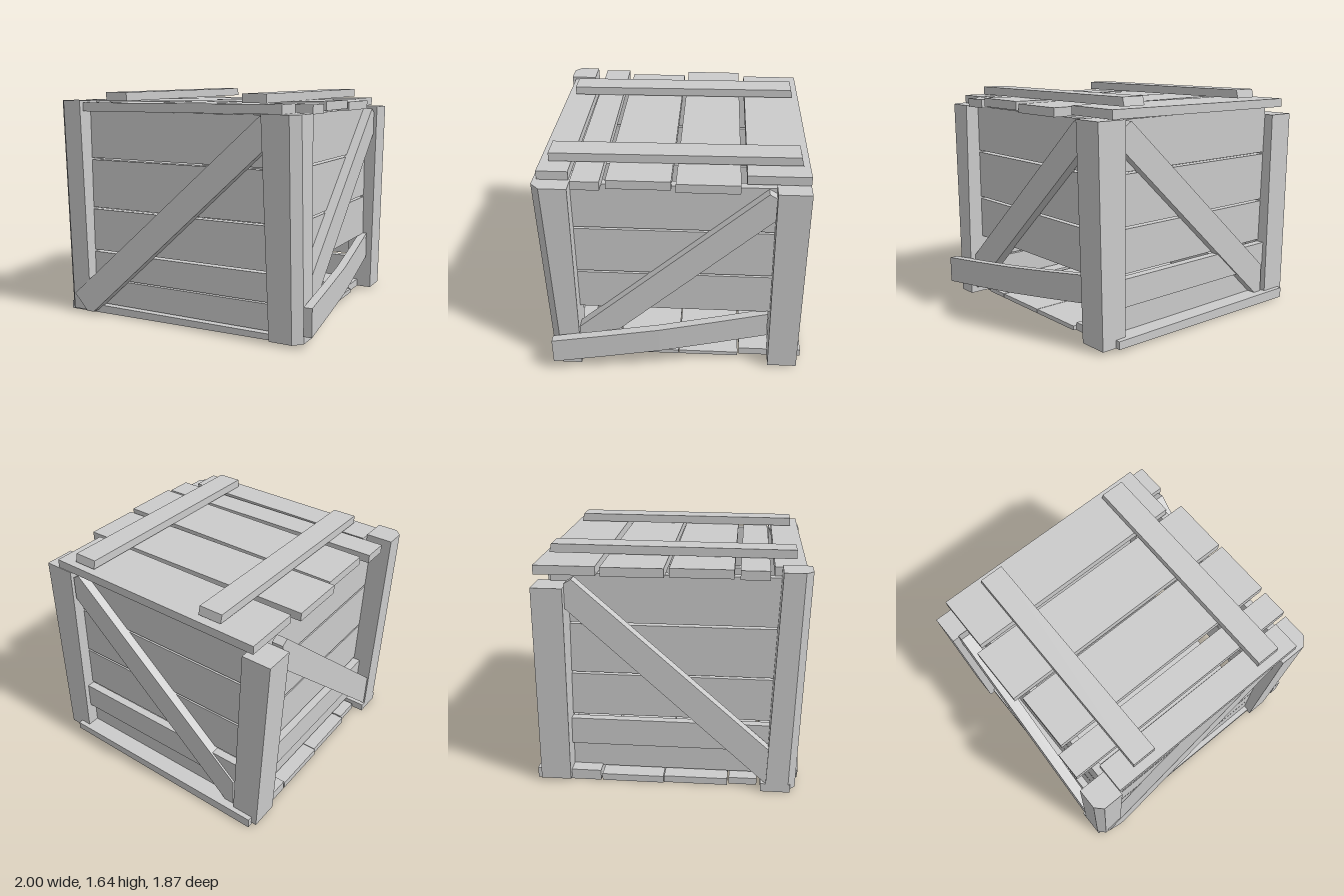
import * as THREE from 'three';
import { ConvexGeometry } from 'three/addons/geometries/ConvexGeometry.js';

const material = new THREE.MeshStandardMaterial({ color: 0xcccccc, flatShading: true });

function addMesh(parent, name, geometry) {
  const mesh = new THREE.Mesh(geometry, material);
  mesh.name = name;
  parent.add(mesh);
}

// Straight board between two corners, with a rule that moves each vertex
function addBoard(parent, name, [x0, x1], [y0, y1], [z0, z1], rule, segments = 1) {
  const g = new THREE.BoxGeometry(x1 - x0, y1 - y0, z1 - z0, 1, 1, segments);
  g.translate((x0 + x1) / 2, (y0 + y1) / 2, (z0 + z1) / 2);
  const p = g.attributes.position;
  const v = new THREE.Vector3();
  for (let i = 0; i < p.count; i++) {
    rule(v.fromBufferAttribute(p, i));
    p.setXYZ(i, v.x, v.y, v.z);
  }
  g.computeVertexNormals();
  addMesh(parent, name, g);
}

// Leaning post: rectangles [inner x, outer x, inner z, outer z] at both ends, outer edge chamfered
function addPost(parent, name, height, top, bottom, chamfer) {
  const points = [];
  for (const [y, [xi, xo, zi, zo]] of [[0.02, bottom], [height, top]]) {
    const cx = chamfer * Math.sign(xo), cz = chamfer * Math.sign(zo);
    const outline = [[xi, zi], [xo, zi], [xi, zo]];
    if (chamfer) outline.push([xo - cx, zo], [xo, zo - cz]);
    else outline.push([xo, zo]);
    for (const [x, z] of outline) points.push(new THREE.Vector3(x, y, z));
  }
  addMesh(parent, name, new ConvexGeometry(points));
}

// Diagonal brace: foot is how far the low end reaches, out and slope place its outer face
function addBrace(parent, { mirror, foot, out, slope }) {
  const outline = [
    [-foot, 0.14 + (0.89 - foot) * 0.9], [-Math.min(foot, 0.78), 0.02], [-0.72, 0.02],
    [0.67, 1.29], [0.67, 1.46], [0.62, 1.49],
  ];
  const points = [];
  for (const [x, y] of outline) {
    points.push(new THREE.Vector3(x * mirror, y, out - slope * y - 0.08));
    points.push(new THREE.Vector3(x * mirror, y, out - slope * y));
  }
  addMesh(parent, 'diagonalBrace', new ConvexGeometry(points));
}

export function createModel() {
  const crate = new THREE.Group();
  crate.name = 'crate';

  // Corner posts
  addPost(crate, 'frontRightPost', 1.57, [-0.77, -0.965, 0.74, 0.93], [-0.76, -0.96, 0.68, 0.885], 0.05);
  addPost(crate, 'frontLeftPost', 1.505, [0.655, 0.91, 0.68, 0.925], [0.70, 0.925, 0.68, 0.88], 0.06);
  addPost(crate, 'backLeftPost', 1.505, [0.68, 0.905, -0.67, -0.89], [0.69, 0.88, -0.69, -0.90], 0);
  addPost(crate, 'backRightPost', 1.44, [-0.79, -1.0, -0.67, -0.88], [-0.75, -0.95, -0.69, -0.90], 0);

  // Walls, each built facing +z and turned into place; rows are [bottom, top, outward shift]
  const upper = [[0.47, 0.775, 0], [0.79, 1.14, 0], [1.155, 1.495, 0]];
  const lowest = [0.065, 0.25, 0];
  const walls = [
    { name: 'frontWall', turn: 0, rows: [lowest, [0.26, 0.455, 0], ...upper],
      brace: { mirror: 1, foot: 0.89, out: 0.905, slope: 0.025 } },
    { name: 'leftWall', turn: Math.PI / 2, rows: upper,
      brace: { mirror: 1, foot: 0.72, out: 0.88, slope: 0 } },
    { name: 'backWall', turn: Math.PI, rows: [lowest, [0.26, 0.455, 0.05], ...upper],
      brace: { mirror: -1, foot: 0.73, out: 0.875, slope: 0 } },
    { name: 'rightWall', turn: -Math.PI / 2, rows: [lowest, [0.26, 0.455, 0.05], ...upper],
      brace: { mirror: -1, foot: 0.83, out: 0.95, slope: 0 } },
  ];
  for (const { name, turn, rows, brace } of walls) {
    const wall = new THREE.Group();
    wall.name = name;
    wall.rotation.y = turn;
    for (const [y0, y1, shift] of rows) {
      addBoard(wall, 'wallPlank', [-0.79, 0.79], [y0, y1], [0.75, 0.81], (v) => { v.z += shift; });
    }
    addBrace(wall, brace);
    crate.add(wall);
  }

  // Loose plank hanging off the left wall, bent outwards and down towards the front
  addBoard(crate, 'loosePlank', [-0.06, 0], [0, 0.195], [-0.67, 0.87], (v) => {
    const t = (v.z + 0.67) / 1.54;
    v.x += t < 0.5 ? 0.845 + 0.19 * t : 0.94 + 0.12 * (t - 0.5);
    v.y += 0.28 - 0.22 * t + 0.03 * t * t;
  }, 4);

  // Floor boards, thinner towards the left side: [x range, z range, top]
  const floor = [
    [[-0.96, 0.78], [0.645, 0.85], 0.06],
    [[-0.88, 0.79], [0.425, 0.62], 0.05],
    [[-0.90, 0.79], [-0.03, 0.415], 0.05],
    [[-0.91, 0.79], [-0.47, -0.035], 0.05],
    [[-0.91, 0.77], [-0.935, -0.48], 0.075],
  ];
  for (const [x, z, top] of floor) {
    addBoard(crate, 'floorBoard', x, [0, top], z, (v) => {
      if (v.y < 0.01) v.y = 0.011 * (v.x + 0.96);
    });
  }

  // Lid boards, each a little tilted: [x range, z range, top at right end, top at left end]
  const lid = [
    [[-0.88, 0.79], [-0.89, -0.475], 1.56, 1.572],
    [[-0.93, 0.90], [-0.435, -0.02], 1.57, 1.56],
    [[-0.88, 0.90], [0.01, 0.43], 1.56, 1.575],
    [[-0.93, 0.90], [0.47, 0.66], 1.57, 1.56],
    [[-0.765, 0.79], [0.69, 0.90], 1.557, 1.567],
  ];
  for (const [x, z, right, left] of lid) {
    addBoard(crate, 'lidBoard', x, [-0.062, 0], z, (v) => { v.y += v.x < 0 ? right : left; });
  }

  // Two battens across the lid, rising slightly to the back with a bevelled rear end
  for (const x of [-0.515, 0.57]) {
    addBoard(crate, 'lidBatten', [x - 0.087, x + 0.087], [1.57, 1.63], [-0.845, 0.84], (v) => {
      if (v.z > 0) return;
      if (v.y > 1.6) v.z += 0.015;
      v.y += 0.01;
    });
  }
  return crate;
}
